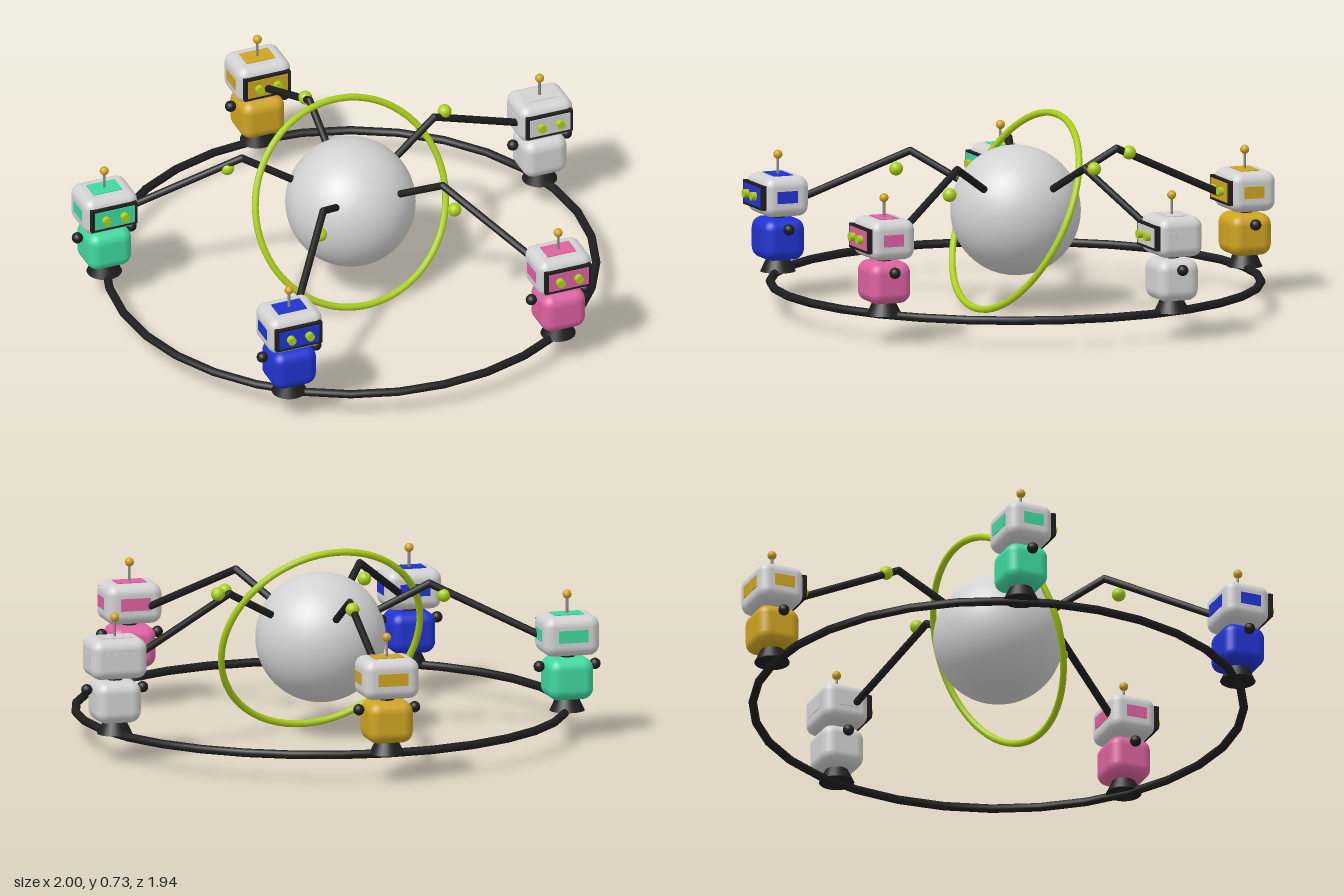
import * as THREE from 'three';
import { RoundedBoxGeometry } from 'three/addons/geometries/RoundedBoxGeometry.js';

const mat = (name, color) => {
  const m = new THREE.MeshStandardMaterial({ color });
  m.name = name;
  return m;
};

export function createModel() {
  const pale = mat('paleGrey', 0xd2d2d2);
  const dark = mat('charcoal', 0x1e1e1e);
  const lime = mat('lime', 0xaccf1a);
  const gold = mat('gold', 0xcfa422);
  const steel = mat('steel', 0x8c8c8c);
  const green = mat('mintGreen', 0x3fd8a0);
  const blue = mat('blue', 0x2034d0);
  const pink = mat('pink', 0xdc629f);

  const model = new THREE.Group();
  model.name = 'robotCarousel';

  const add = (parent, name, geo, material, x = 0, y = 0, z = 0) => {
    const mesh = new THREE.Mesh(geo, material);
    mesh.name = name;
    mesh.position.set(x, y, z);
    parent.add(mesh);
    return mesh;
  };

  // round bar between two points
  const bar = (parent, name, a, b, r, material) => {
    const dir = b.clone().sub(a);
    const mesh = add(parent, name, new THREE.CylinderGeometry(r, r, dir.length(), 12), material);
    mesh.position.copy(a).add(b).multiplyScalar(0.5);
    mesh.quaternion.setFromUnitVectors(new THREE.Vector3(0, 1, 0), dir.normalize());
  };

  const cx = -0.006, cz = 0.032;

  // central globe, floor ring and tilted orbit ring
  add(model, 'globe', new THREE.SphereGeometry(0.243, 48, 32), pale, cx, 0.376, cz);
  add(model, 'floorRing', new THREE.TorusGeometry(0.914, 0.016, 10, 32), dark, cx, 0.107, cz).rotation.x = Math.PI / 2;
  const orbit = add(model, 'orbitRing', new THREE.TorusGeometry(0.392, 0.013, 10, 64), lime, cx, 0.372, cz);
  orbit.rotation.set(-0.44, 0.1, 0, 'YXZ');

  // shared robot geometries
  const bodyGeo = new RoundedBoxGeometry(0.175, 0.157, 0.166, 4, 0.042);
  const headGeo = new RoundedBoxGeometry(0.215, 0.15, 0.178, 4, 0.038);
  const eyeGeo = new THREE.CylinderGeometry(0.016, 0.016, 0.024, 16).rotateX(Math.PI / 2);
  const handGeo = new THREE.SphereGeometry(0.021, 16, 12);
  const box = (w, h, d) => new THREE.BoxGeometry(w, h, d);

  const makeRobot = (name, color) => {
    const g = new THREE.Group();
    g.name = name;
    // foot, body and neck
    add(g, 'foot', new THREE.CylinderGeometry(0.04, 0.066, 0.056, 24), dark, 0, 0.136, 0);
    add(g, 'body', bodyGeo, color, 0, 0.234, 0);
    add(g, 'neck', new THREE.CylinderGeometry(0.028, 0.028, 0.04, 16), dark, 0, 0.318, 0);
    // head with face panel and coloured plates
    add(g, 'head', headGeo, pale, 0, 0.399, 0);
    add(g, 'facePanel', box(0.185, 0.092, 0.018), dark, 0, 0.4, 0.093);
    add(g, 'screen', box(0.16, 0.073, 0.004), color, 0, 0.401, 0.103);
    add(g, 'topPlate', box(0.115, 0.005, 0.075), color, 0, 0.474, 0);
    add(g, 'backPlate', box(0.115, 0.047, 0.005), color, 0, 0.402, -0.089);
    // mirrored eyes, side plates and hands
    for (const s of [-1, 1]) {
      add(g, 'eye', eyeGeo, lime, s * 0.037, 0.402, 0.113);
      add(g, 'sidePlate', box(0.005, 0.045, 0.08), color, s * 0.1075, 0.401, 0.005);
      add(g, 'hand', handGeo, dark, s * 0.108, 0.279, 0);
    }
    // antenna
    add(g, 'antennaRod', new THREE.CylinderGeometry(0.005, 0.005, 0.08, 10), steel, 0, 0.508, 0);
    add(g, 'antennaTip', new THREE.SphereGeometry(0.017, 16, 12), gold, 0, 0.548, 0);
    return g;
  };

  // each robot: name, colour, x, z, then its floating bead position
  const robots = [
    ['backRobot', gold, 0, -0.887, [0, 0.565, -0.422]],
    ['backRightRobot', green, -0.875, -0.264, [-0.44, 0.54, -0.118]],
    ['frontRightRobot', blue, -0.556, 0.762, [-0.28, 0.513, 0.4]],
    ['frontLeftRobot', pink, 0.521, 0.778, [0.258, 0.495, 0.406]],
    ['backLeftRobot', pale, 0.867, -0.237, [0.43, 0.587, -0.105]],
  ];
  for (const [name, color, x, z, bead] of robots) {
    const robot = makeRobot(name, color);
    robot.position.set(x, 0, z);
    model.add(robot);

    // bent spoke from the globe to the head
    const a = Math.atan2(z - cz, x - cx);
    const at = (r, y) => new THREE.Vector3(cx + r * Math.cos(a), y, cz + r * Math.sin(a));
    const start = at(0.21, 0.478), peak = at(0.405, 0.583), end = at(0.905, 0.35);
    bar(model, 'innerSpoke', start, peak, 0.014, dark);
    bar(model, 'outerSpoke', peak, end, 0.014, dark);
    add(model, 'spokeJoint', new THREE.SphereGeometry(0.014, 12, 8), dark, peak.x, peak.y, peak.z);
    add(model, 'bead', new THREE.SphereGeometry(0.026, 20, 14), lime, ...bead);
  }
  return model;
}
